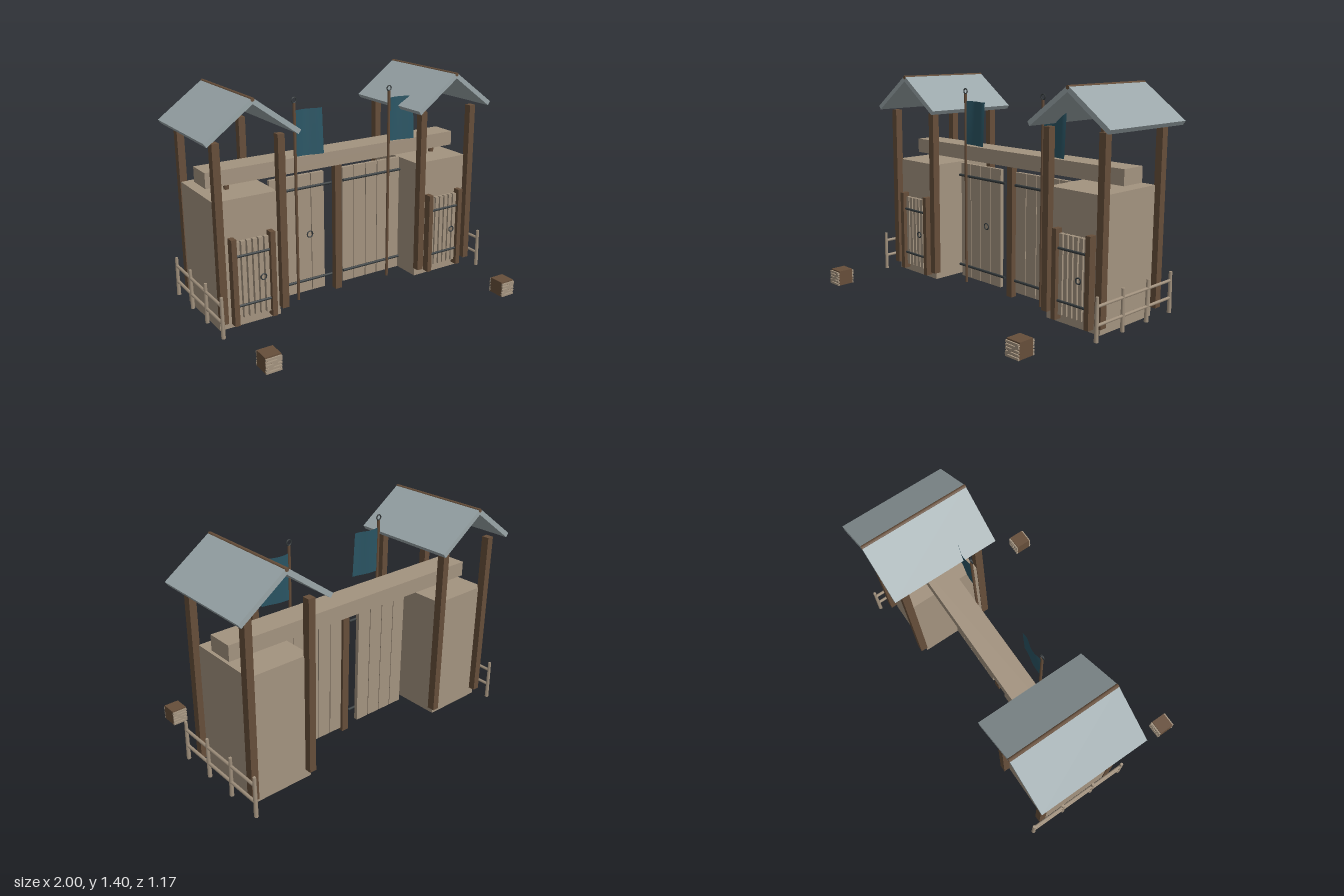
import * as THREE from 'three';

const mat = (name, color) => {
  const m = new THREE.MeshStandardMaterial({ color });
  m.name = name;
  return m;
};

export function createModel() {
  const paleWood = mat('pale wood', 0xa3937f);
  const darkWood = mat('dark wood', 0x664e3a);
  const slate = mat('slate grey', 0x9aa6a9);
  const cloth = mat('teal cloth', 0x2a5564);
  cloth.side = THREE.DoubleSide;
  const iron = mat('dark iron', 0x343a3c);

  const model = new THREE.Group();
  model.name = 'gatehouse';

  const add = (parent, name, geo, material, x = 0, y = 0, z = 0) => {
    const mesh = new THREE.Mesh(geo, material);
    mesh.name = name;
    mesh.position.set(x, y, z);
    parent.add(mesh);
    return mesh;
  };
  // Box given by its limits on each axis
  const span = (parent, name, material, [x0, x1], [y0, y1], [z0, z1]) =>
    add(parent, name, new THREE.BoxGeometry(x1 - x0, y1 - y0, z1 - z0), material,
      (x0 + x1) / 2, (y0 + y1) / 2, (z0 + z1) / 2);
  // Round rod along an axis, centred on a point
  const rod = (parent, name, material, r, length, axis, x, y, z, sides = 8) => {
    const geo = new THREE.CylinderGeometry(r, r, length, sides);
    if (axis === 'x') geo.rotateZ(Math.PI / 2);
    if (axis === 'z') geo.rotateX(Math.PI / 2);
    return add(parent, name, geo, material, x, y, z);
  };
  const ring = (parent, name, x, y, z, r = 0.018) =>
    add(parent, name, new THREE.TorusGeometry(r, 0.004, 6, 16), iron, x, y, z);
  const group = (name, x = 0) => {
    const g = new THREE.Group();
    g.name = name;
    g.position.x = x;
    model.add(g);
    return g;
  };

  // Towers: the same tower twice, placed by the centre of its roof
  const roofShape = new THREE.Shape();
  [[0, 1.403], [-0.292, 1.19], [-0.275, 1.166], [0, 1.367], [0.275, 1.166], [0.292, 1.19]]
    .forEach(([x, y], i) => (i ? roofShape.lineTo(x, y) : roofShape.moveTo(x, y)));

  for (const cx of [-0.708, 0.707]) {
    const tower = group(cx < 0 ? 'rightTower' : 'leftTower', cx);
    span(tower, 'towerBody', paleWood, [-0.218, 0.18], [0.035, 0.822], [-0.47, 0]);
    for (const x of [-0.201, 0.196])
      for (const z of [0.02, -0.488])
        span(tower, 'cornerPost', darkWood, [x - 0.022, x + 0.022], [0.09, 1.165], [z - 0.024, z + 0.024]);

    const roof = new THREE.ExtrudeGeometry(roofShape, { depth: 0.675, bevelEnabled: false });
    add(tower, 'roof', roof, slate, 0, 0, -0.572);
    rod(tower, 'ridgePole', darkWood, 0.012, 0.677, 'z', 0, 1.392, -0.2345);

    // Small slatted door on the front of the tower
    for (const x of [-0.126, 0.12])
      span(tower, 'doorPost', darkWood, [x - 0.016, x + 0.016], [0.06, 0.598], [0, 0.05]);
    for (let i = 0; i < 6; i++) {
      const x = -0.108 + i * 0.037;
      span(tower, 'doorSlat', paleWood, [x, x + 0.026], [0.09, 0.57], [0, 0.026]);
    }
    for (const y of [0.485, 0.175]) rod(tower, 'doorStrap', iron, 0.008, 0.225, 'x', -0.004, y, 0.03);
    ring(tower, 'doorRing', 0.054, 0.33, 0.045);
  }

  // Gate frame: top beam on three posts
  span(model, 'topBeam', paleWood, [-0.9, 0.9], [0.856, 0.95], [-0.32, -0.155]);
  rod(model, 'beamPost', darkWood, 0.018, 0.86, 'y', -0.757, 0.43, -0.192);
  rod(model, 'beamPost', darkWood, 0.018, 0.86, 'y', 0.755, 0.43, -0.192);
  span(model, 'centrePost', darkWood, [-0.025, 0.023], [0, 0.857], [-0.213, -0.172]);

  // Gate leaves: vertical planks with iron straps; one leaf lacks its last plank
  const leaf = (name, start, pitch, count, strapFrom, strapTo) => {
    const gate = group(name);
    for (let i = 0; i < count; i++) {
      const x = start + i * pitch;
      span(gate, 'gatePlank', paleWood, [x, x + pitch - 0.005], [0.035, 0.822], [-0.215, -0.19]);
    }
    for (const y of [0.74, 0.115])
      rod(gate, 'gateStrap', iron, 0.009, strapTo - strapFrom, 'x', (strapFrom + strapTo) / 2, y, -0.183);
    return gate;
  };
  const rightLeaf = leaf('rightGateLeaf', -0.48, 0.0965, 4, -0.49, -0.05);
  leaf('leftGateLeaf', 0.04, 0.0905, 5, 0.04, 0.5);
  ring(rightLeaf, 'gateRing', -0.215, 0.43, -0.172, 0.02);

  // Flags on tall poles
  for (const x of [-0.342, 0.338]) {
    const banner = group('banner', x);
    rod(banner, 'flagPole', darkWood, 0.009, 1.26, 'y', 0, 0.665, -0.108, 6);
    ring(banner, 'poleRing', 0, 1.312, -0.108, 0.016);
    const flag = new THREE.PlaneGeometry(0.183, 0.28, 12, 6);
    const p = flag.attributes.position;
    for (let i = 0; i < p.count; i++) {
      const u = p.getX(i) / 0.183 + 0.5;
      const v = p.getY(i) / 0.28 + 0.5;
      p.setZ(i, -0.011 * Math.sin(u * 5.5) * (0.4 + u) * (0.5 + v * 0.6) + 0.014 * u * (1 - v) - 0.008 * v * u);
    }
    flag.computeVertexNormals();
    add(banner, 'flag', flag, cloth, 0.095, 1.11, -0.108);
  }

  // Side fences, posts leaning a little
  for (const x of [-0.953, 0.948]) {
    const fence = group('fence', x);
    [0.107, -0.12, -0.346, -0.572].forEach((z, i) => {
      const post = add(fence, 'fencePost', new THREE.CylinderGeometry(0.01, 0.013, 0.255, 6), paleWood, 0, 0.172, z);
      post.rotation.x = [0, 0.015, -0.02, 0.01][i];
    });
    for (const y of [0.245, 0.138]) rod(fence, 'fenceRail', paleWood, 0.01, 0.68, 'z', 0, y, -0.233, 6);
  }

  // Crates with slats and a diagonal brace on front and back
  for (const x of [-0.879, 0.788]) {
    const crate = group('crate', x);
    span(crate, 'crateBody', darkWood, [-0.048, 0.048], [0.044, 0.14], [0.478, 0.576]);
    for (const z of [0.473, 0.581]) {
      for (let i = 0; i < 5; i++)
        add(crate, 'crateSlat', new THREE.BoxGeometry(0.096, 0.012, 0.01), paleWood, 0, 0.05 + i * 0.019, z);
      const brace = add(crate, 'crateBrace', new THREE.BoxGeometry(0.115, 0.013, 0.014), paleWood, 0, 0.09, z);
      brace.rotation.z = 0.65;
    }
  }
  return model;
}
